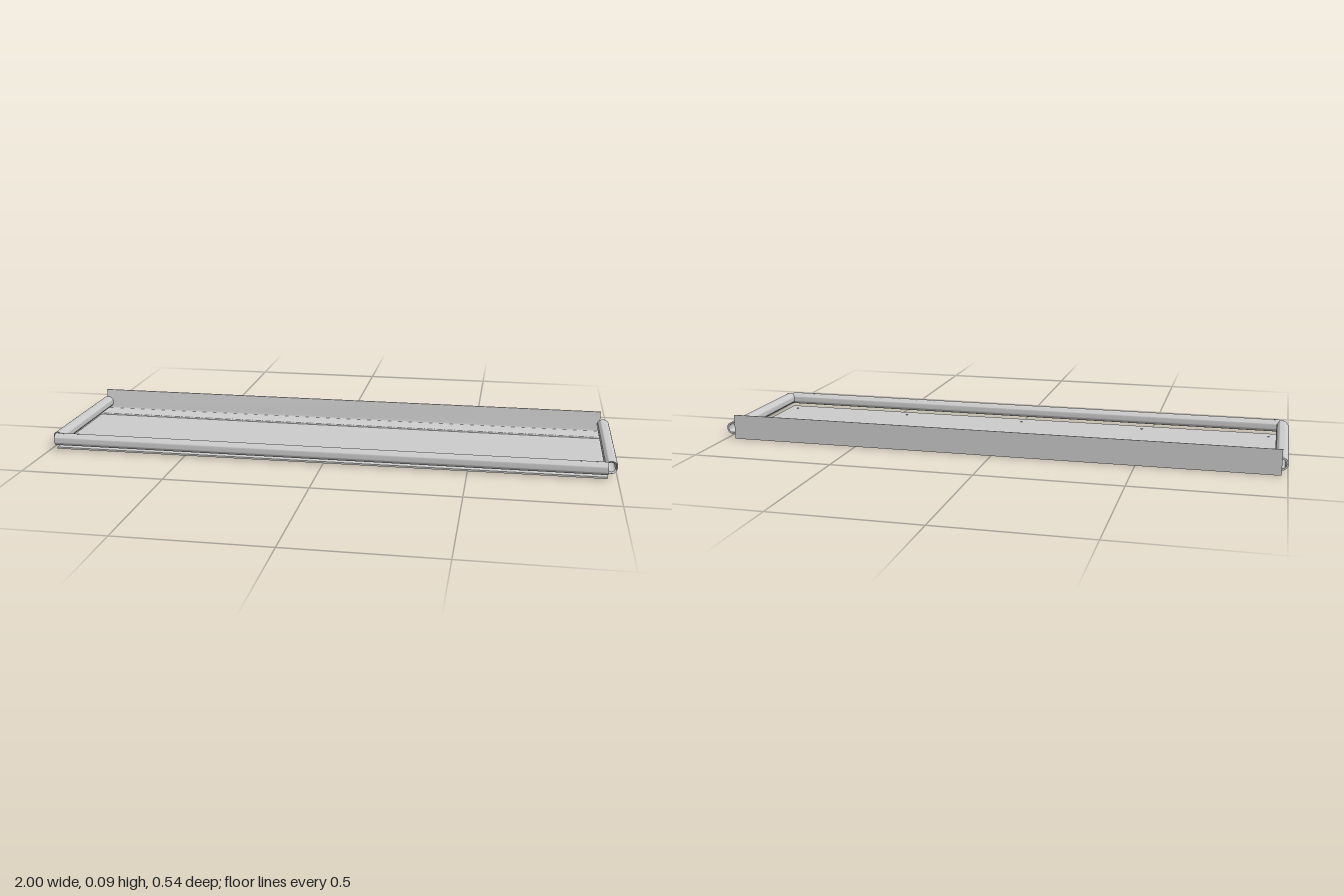
import * as THREE from 'three';
import { toCreasedNormals } from 'three/addons/utils/BufferGeometryUtils.js';

const R = 0.022, BORE = 0.016, AXIS_Y = 0.038, FRONT_Z = 0.248;
const X0 = -0.98, X1 = 0.967;

export function createModel() {
  const group = new THREE.Group();
  const grey = new THREE.MeshStandardMaterial({ color: 0xcccccc, side: THREE.DoubleSide });

  const add = (name, geometry, x, y, z) => {
    const mesh = new THREE.Mesh(geometry, grey);
    mesh.name = name;
    mesh.position.set(x, y, z);
    group.add(mesh);
    return mesh;
  };

  // Hollow tube running along +z from the origin
  const tube = (length) => {
    const ring = new THREE.Shape().absarc(0, 0, R, 0, Math.PI * 2);
    ring.holes.push(new THREE.Path().absarc(0, 0, BORE, 0, Math.PI * 2, true));
    return new THREE.ExtrudeGeometry(ring, { depth: length, bevelEnabled: false, curveSegments: 40 });
  };

  // Floor panel
  add('floorPanel', new THREE.BoxGeometry(X1 - X0, 0.006, 0.513), (X0 + X1) / 2, 0.003, -0.0115);

  // Small fasteners along the front of the floor
  for (let i = -2; i <= 2; i++) {
    add('floorFastener', new THREE.CylinderGeometry(0.004, 0.004, 0.002, 12), i * 0.465, 0.007, 0.2);
  }

  // Rear angle: upright wall with a flat foot, drawn in (-z, y)
  const angle = new THREE.Shape();
  angle.moveTo(0.268, 0);
  angle.lineTo(0.268, 0.089);
  angle.quadraticCurveTo(0.263, 0.09, 0.263, 0.085);
  angle.lineTo(0.263, 0.019);
  angle.quadraticCurveTo(0.263, 0.013, 0.257, 0.013);
  angle.lineTo(0.196, 0.013);
  angle.quadraticCurveTo(0.19, 0.013, 0.19, 0.006);
  angle.lineTo(0.262, 0.006);
  angle.lineTo(0.262, 0);
  const angleGeo = new THREE.ExtrudeGeometry(angle, { depth: X1 - X0, bevelEnabled: false, curveSegments: 6 });
  angleGeo.rotateY(Math.PI / 2);
  add('rearAngle', toCreasedNormals(angleGeo, 0.6), X0, 0, 0);

  // Front rail
  const railGeo = tube(X1 - X0).rotateY(Math.PI / 2);
  add('frontRail', toCreasedNormals(railGeo, 0.6), X0, AXIS_Y, FRONT_Z);

  // Pairs of small fasteners on top of the front rail
  for (const x of [-0.95, -0.895, 0.877, 0.93]) {
    add('railFastener', new THREE.CylinderGeometry(0.004, 0.004, 0.002, 12), x, AXIS_Y + R, FRONT_Z);
  }

  // Side rails, their front ends notched to fit round the front rail
  const backZ = -0.263, tipZ = 0.237;
  for (const side of [-1, 1]) {
    const geo = tube(tipZ - backZ);
    const pos = geo.attributes.position;
    for (let i = 0; i < pos.count; i++) {
      if (pos.getZ(i) < 0.1) continue;
      const y = pos.getY(i);
      const notch = FRONT_Z - Math.sqrt(Math.max(0, R * R - y * y));
      pos.setZ(i, Math.min(tipZ, notch) - backZ);
    }
    add(side > 0 ? 'leftRail' : 'rightRail', toCreasedNormals(geo, 0.6), side * 0.978, AXIS_Y, backZ);
  }

  return group;
}
